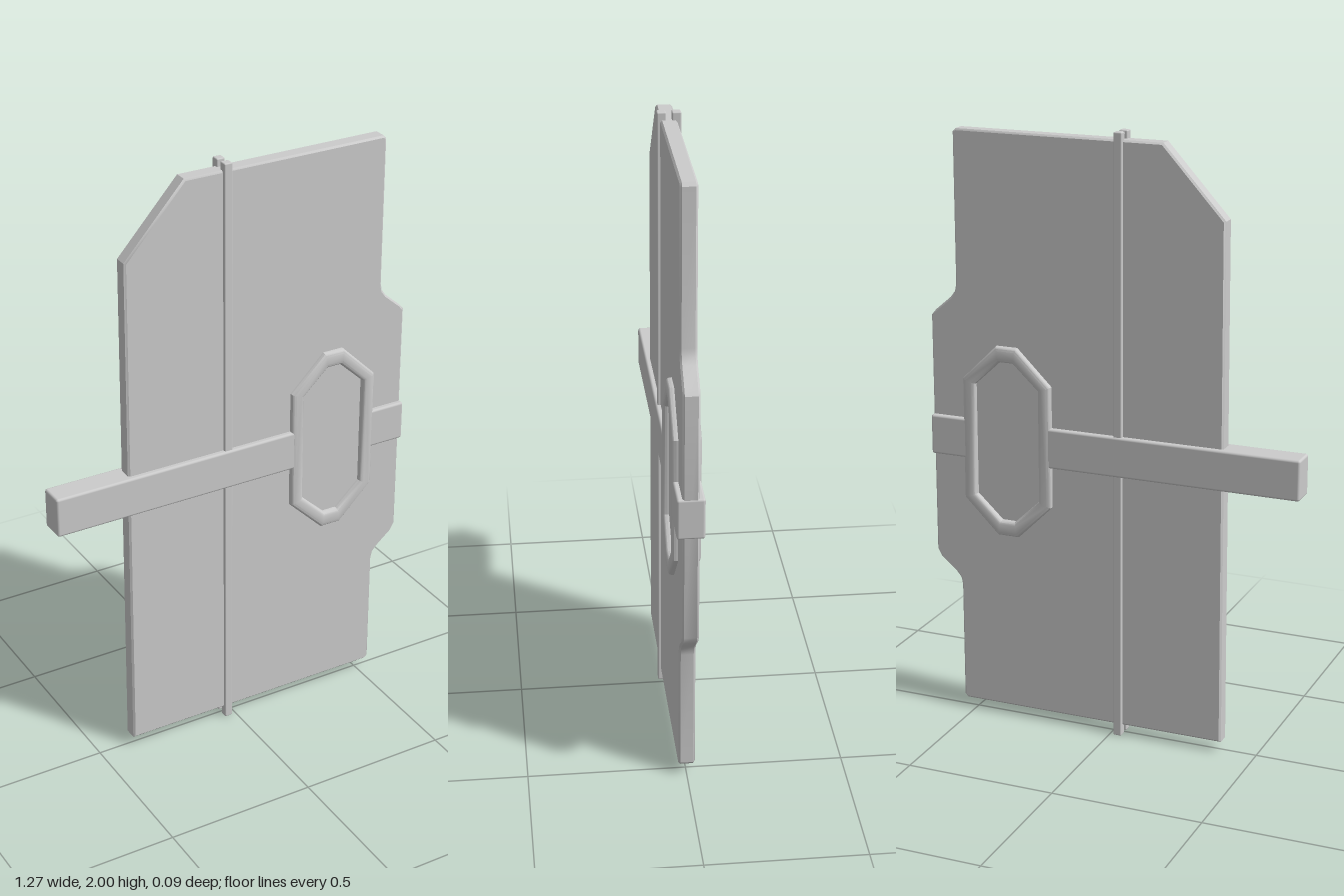
import * as THREE from 'three';
import { toCreasedNormals } from 'three/addons/utils/BufferGeometryUtils.js';
import { RoundedBoxGeometry } from 'three/addons/geometries/RoundedBoxGeometry.js';

const material = new THREE.MeshStandardMaterial({ color: 0xcccccc });
const points = (list) => list.map(([x, y]) => new THREE.Vector2(x, y));

// Extrudes a profile about z = 0, with its bevel kept inside the outline
function extrudeCentred(shape, thickness, bevel, segments) {
  const geometry = new THREE.ExtrudeGeometry(shape, {
    depth: thickness - 2 * bevel, bevelThickness: bevel, bevelSize: bevel,
    bevelOffset: -bevel, bevelSegments: segments,
  });
  geometry.translate(0, 0, -thickness / 2 + bevel);
  return toCreasedNormals(geometry, 0.6);
}

// Tall octagon with clipped corners
function octagon(cx, cy, halfWidth, halfHeight, halfTop, halfSide) {
  const quarter = [[halfWidth, halfSide], [halfTop, halfHeight]];
  const top = [...quarter, ...quarter.map(([x, y]) => [-x, y]).reverse()];
  const all = [...top, ...top.map(([x, y]) => [-x, -y])];
  return points(all.map(([x, y]) => [cx + x, cy + y]));
}

export function createModel() {
  const group = new THREE.Group();
  const add = (name, geometry, x = 0, y = 0, z = 0) => {
    const mesh = new THREE.Mesh(geometry, material);
    mesh.name = name;
    mesh.position.set(x, y, z);
    group.add(mesh);
  };

  // Flat panel with one cut corner and a stepped side
  const panel = new THREE.Shape(points([
    [-0.385, 0.035], [0.53, 0.035], [0.54, 0.046], [0.54, 0.445], [0.545, 0.468],
    [0.56, 0.487], [0.615, 0.533], [0.63, 0.56], [0.63, 1.365], [0.615, 1.383],
    [0.56, 1.43], [0.545, 1.45], [0.54, 1.475], [0.54, 1.964], [0.53, 1.975],
    [-0.17, 1.975], [-0.375, 1.75],
  ]));
  add('panel', extrudeCentred(panel, 0.052, 0.006, 1));

  // Cross bar, split by the ring
  for (const [name, x0, x1] of [['longBar', -0.635, 0.235], ['shortBar', 0.485, 0.632]]) {
    add(name, new RoundedBoxGeometry(x1 - x0, 0.133, 0.086, 2, 0.008), (x0 + x1) / 2, 0.966, 0);
  }

  // Octagonal ring standing proud of both faces
  const ring = new THREE.Shape(octagon(0.36, 0.966, 0.155, 0.32, 0.036, 0.203));
  ring.holes.push(new THREE.Path(octagon(0.36, 0.966, 0.111, 0.268, 0.024, 0.187)));
  add('ring', extrudeCentred(ring, 0.09, 0.013, 3));

  // Thin upright rods, front and back
  for (const [name, z] of [['frontRod', 0.022], ['backRod', -0.024]]) {
    add(name, new RoundedBoxGeometry(0.028, 2, 0.028, 2, 0.004), -0.027, 1, z);
  }
  return group;
}
